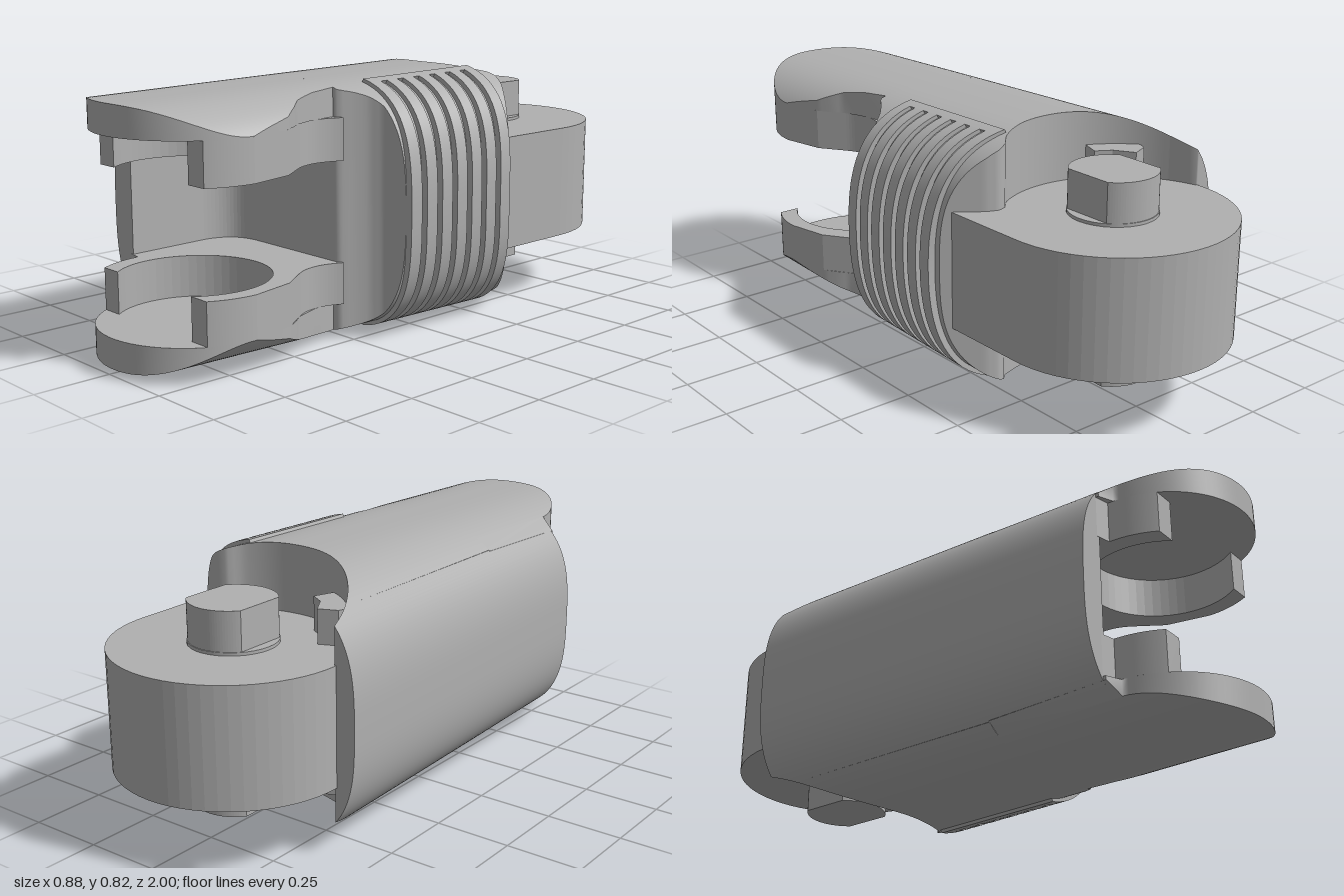
import * as THREE from 'three';

const MID = 0.4125, LEFT = 0.445, RIGHT = 0.418;

// The shell's width and height shrink slightly towards the front
const taper = z => 1 - 0.06 * (z + 0.6);
const halfHeight = z => MID * Math.min(1, 1 - 0.038 * (z + 0.3));
// Half height of the superellipse section at nominal x
const rise = (u, z) => {
  const q = Math.min(1, Math.abs(u) / (u < 0 ? LEFT : RIGHT));
  return halfHeight(z) * Math.cbrt(1 - q ** 3);
};

// Straight-line lookup through [x, z] pairs
function lookup(pts, x) {
  if (x <= pts[0][0]) return pts[0][1];
  for (let i = 1; i < pts.length; i++) {
    const [x0, z0] = pts[i - 1], [x1, z1] = pts[i];
    if (x <= x1) return z0 + (z1 - z0) * (x - x0) / (x1 - x0);
  }
  return pts[pts.length - 1][1];
}

// Loft of four-cornered sections, with sharp edges between the four sides
function loft(n, section) {
  const pos = [], idx = [];
  const rows = Array.from({ length: n + 1 }, (_, i) => section(i / n));
  for (let k = 0; k < 4; k++) {
    const base = pos.length / 3;
    rows.forEach(r => pos.push(...r[k], ...r[(k + 1) % 4]));
    for (let i = 0; i < n; i++) {
      const a = base + i * 2;
      idx.push(a, a + 2, a + 1, a + 1, a + 2, a + 3);
    }
  }
  for (const r of [rows[0], [...rows[n]].reverse()]) {
    const b = pos.length / 3;
    r.forEach(p => pos.push(...p));
    idx.push(b, b + 1, b + 2, b, b + 2, b + 3);
  }
  const g = new THREE.BufferGeometry();
  g.setAttribute('position', new THREE.Float32BufferAttribute(pos, 3));
  g.setIndex(idx);
  g.computeVertexNormals();
  return g;
}

// Plan shape (x, z) raised from y0 to y1
function raise(shape, y0, y1, curveSegments = 16) {
  return new THREE.ExtrudeGeometry(shape, { depth: y1 - y0, bevelEnabled: false, curveSegments })
    .rotateX(Math.PI / 2).translate(0, y1, 0);
}
const polygon = pts => new THREE.Shape(pts.map(p => new THREE.Vector2(...p)));

export function createModel() {
  const model = new THREE.Group();
  model.name = 'fingerSegment';
  const grey = new THREE.MeshStandardMaterial({ color: 0xb0b0b0, side: THREE.DoubleSide });
  grey.name = 'grey';
  const add = (name, geometry, parent = model) => {
    const m = new THREE.Mesh(geometry, grey);
    m.name = name;
    parent.add(m);
    return m;
  };

  // Main shell: scooped at the back, waisted on the left side
  const backEdge = [[0.2, -0.357], [0.23, -0.39], [0.26, -0.4], [0.3, -0.385], [0.42, -0.3]];
  const waist = [[0.22, 0.28], [0.25, 0.235], [0.28, 0.2], [0.32, 0.175], [0.42, 0.17]];
  const zBack = u => u > 0.2 ? lookup(backEdge, u)
    : Math.max(-0.61, -0.68 + Math.sqrt(Math.max(0, 0.1444 - u * u)));
  function shell(u0, u1, zFront, n) {
    const angle = u => Math.asin(u / (u < 0 ? LEFT : RIGHT));
    return loft(n, t => {
      const s = Math.sin(THREE.MathUtils.lerp(angle(u0), angle(u1), t));
      const u = s * (s < 0 ? LEFT : RIGHT);
      const corner = (z, side) => [u * taper(z), MID + side * rise(u, z), z];
      const f = zFront(u), b = zBack(u);
      return [corner(f, 1), corner(b, 1), corner(b, -1), corner(f, -1)];
    });
  }
  add('shell', shell(-0.345, RIGHT, u => lookup(waist, u), 72));
  add('sideWall', shell(-LEFT, -0.345, () => 0.69, 24));

  // Rounded inner corner of the fork slot
  const fillet = new THREE.Shape();
  fillet.moveTo(-0.34, 0.27);
  fillet.lineTo(-0.325, 0.42);
  fillet.quadraticCurveTo(-0.325, 0.28, -0.19, 0.28);
  fillet.lineTo(-0.19, 0.27);
  add('slotCorner', raise(fillet, 0.25, 0.575));

  // Fork lobe: outer plate and open socket ring
  const lobeBack = [[0.195, 0.28], [0.2, 0.37], [0.23, 0.46], [0.26, 0.5], [0.29, 0.55], [0.32, 0.7]];
  const plate = loft(48, t => {
    const x = t === 0 ? -0.33 : 0.02 + 0.3 * Math.sin(Math.PI * (t - 0.5));
    const f = 0.7 + Math.sqrt(Math.max(0, 0.09 - (x - 0.02) ** 2));
    const b = lookup(lobeBack, x);
    const top = z => MID + rise(x / taper(z), z);
    const low = z => Math.min(0.71, top(z) - 0.005);
    return [[x, top(f), f], [x, top(b), b], [x, low(b), b], [x, low(f), f]];
  });
  const ring = new THREE.Shape();
  const inner = Math.asin(0.15 / 0.24), outer = Math.asin(0.15 / 0.3);
  ring.moveTo(-0.33, 0.26);
  ring.lineTo(-0.33, 0.69);
  ring.lineTo(-0.28, 0.7);
  ring.absarc(0.02, 0.7, 0.3, Math.PI, Math.PI - outer, true);
  ring.absarc(0.02, 0.7, 0.24, Math.PI - inner, 2 * Math.PI + inner, false);
  ring.absarc(0.02, 0.7, 0.3, outer, 0, true);
  ring.lineTo(0.29, 0.55);
  ring.lineTo(0.23, 0.46);
  ring.quadraticCurveTo(0.17, 0.37, 0.225, 0.27);
  const socket = raise(ring, 0.575, 0.71, 20);

  // Stop lug in the back scoop
  const lug = raise(polygon([[-0.3, -0.42], [-0.28, -0.47], [-0.22, -0.495], [-0.18, -0.43],
    [-0.13, -0.4], [-0.16, -0.32]]), 0.59, 0.71);

  for (const side of [1, -1]) {
    const half = new THREE.Group();
    half.name = side > 0 ? 'upperFork' : 'lowerFork';
    half.scale.y = side;
    half.position.y = side > 0 ? 0 : 2 * MID;
    add('lobePlate', plate, half);
    add('socketRing', socket, half);
    add('stopLug', lug, half);
    model.add(half);
  }

  // Rear knuckle
  const knob = new THREE.Shape();
  knob.moveTo(0.38, -0.28);
  knob.lineTo(0.38, -0.62);
  knob.absarc(0, -0.62, 0.38, 0, -Math.PI, true);
  knob.lineTo(-0.38, -0.46);
  knob.lineTo(-0.3, -0.28);
  add('knuckle', raise(knob, 0.22, 0.6));

  // Hinge pin with two flats, on a thin round collar
  const flat = Math.acos(0.108 / 0.137);
  const pin = new THREE.Shape();
  pin.absarc(0, -0.62, 0.137, flat, Math.PI - flat, false);
  pin.absarc(0, -0.62, 0.137, Math.PI + flat, 2 * Math.PI - flat, false);
  add('hingePin', raise(pin, 0.085, 0.735));
  add('pinCollar', new THREE.CylinderGeometry(0.14, 0.14, 0.4, 32)).position.set(0, 0.41, -0.62);

  // Ribbed grip wrapped round the left side
  const grip = new THREE.Group();
  grip.name = 'grip';
  model.add(grip);
  const onGrip = (th, z, lift) => {
    const c = Math.cos(th), s = Math.sin(th);
    const r = 1 / Math.cbrt((c / (RIGHT * taper(z))) ** 3 + (Math.abs(s) / halfHeight(z)) ** 3);
    const d = r + (lift ? 0.008 + 0.017 * c * c : -0.02);
    return [d * c, MID + d * s, z];
  };
  const bow = (th, k) => -(0.03 + 0.04 * k / 6) * Math.sin(th) ** 2;
  const band = (th0, th1, zFront, zRear, n) => loft(n, t => {
    const th = THREE.MathUtils.lerp(th0, th1, t), f = zFront(th), b = zRear(th);
    return [onGrip(th, f, true), onGrip(th, b, true), onGrip(th, b, false), onGrip(th, f, false)];
  });
  const front = k => th => 0.17 - 0.067 * k + bow(th, k);
  const rear = k => th => front(k)(th) - 0.045;
  const END = 1.15, PAD = 1.07;
  for (let k = 0; k < 7; k++) add('gripRib', band(PAD, -PAD, front(k), rear(k), 40), grip);
  add('gripEndTop', band(END, PAD, front(0), rear(6), 4), grip);
  add('gripEndBottom', band(-PAD, -END, front(0), rear(6), 4), grip);

  return model;
}
